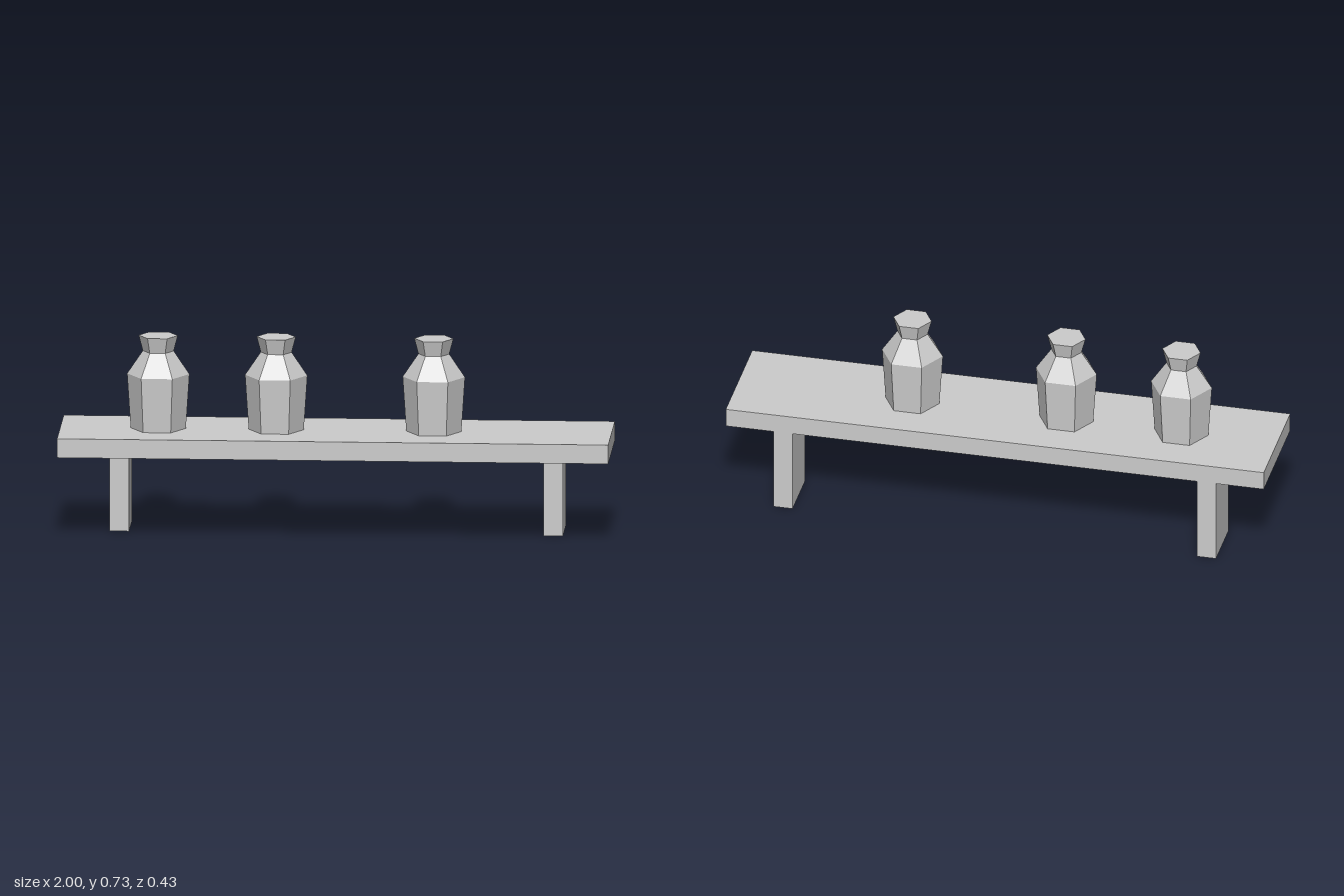
import * as THREE from 'three';

const SHELF_TOP = 0.386;
const SHELF_BOTTOM = 0.316;
const DEPTH = 0.428;

export function createModel() {
  const group = new THREE.Group();
  const grey = new THREE.MeshStandardMaterial({ color: 0xcccccc });
  grey.name = 'light grey';

  const add = (name, geometry, x, y, z) => {
    const mesh = new THREE.Mesh(geometry, grey);
    mesh.name = name;
    mesh.position.set(x, y, z);
    group.add(mesh);
  };

  // Shelf board
  const thickness = SHELF_TOP - SHELF_BOTTOM;
  add('shelfBoard', new THREE.BoxGeometry(2, thickness, DEPTH), 0, SHELF_BOTTOM + thickness / 2, 0);

  // Two brackets under the rear half, flush with the back edge
  const bracket = new THREE.BoxGeometry(0.071, SHELF_BOTTOM, 0.2);
  add('leftBracket', bracket, 0.787, SHELF_BOTTOM / 2, -DEPTH / 2 + 0.1);
  add('rightBracket', bracket, -0.787, SHELF_BOTTOM / 2, -DEPTH / 2 + 0.1);

  // Six-sided jar: base, shoulder, neck and flared closed rim, with corners on the x axis
  const profile = [[0, 0], [0.1, 0], [0.113, 0.201], [0.056, 0.286], [0.071, 0.343], [0, 0.343]]
    .map(([r, y]) => new THREE.Vector2(r, y));
  const jar = new THREE.LatheGeometry(profile, 6, Math.PI / 2).toNonIndexed();
  jar.computeVertexNormals(); // one normal per facet

  [-0.645, -0.217, 0.355].forEach((x, i) => add(`jar${i + 1}`, jar, x, SHELF_TOP, 0));

  return group;
}
